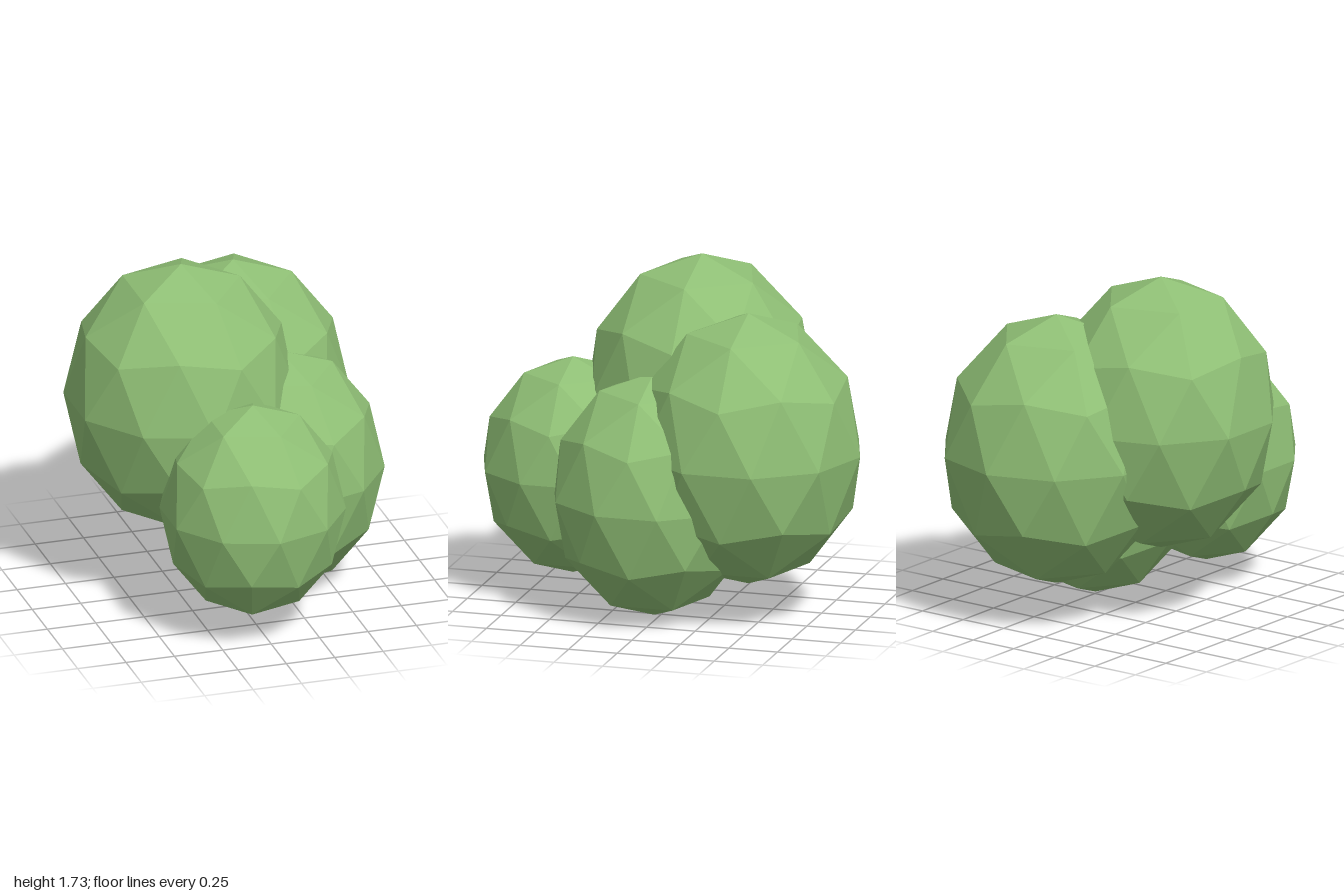
import * as THREE from 'three';

// Low-poly bush: four overlapping, slightly tall leaf clumps.
const STRETCH = 1.2;

const CLUMPS = [
  { name: 'frontClump', radius: 0.46, position: [-0.03, 0.65, 0.54] },
  { name: 'leftClump', radius: 0.517, position: [0.27, 0.62, 0.03] },
  { name: 'topClump', radius: 0.58, position: [-0.21, 1.034, -0.07] },
  { name: 'backClump', radius: 0.576, position: [0.17, 0.862, -0.424] },
];

// Faceted icosphere with one corner turned straight up, then stretched in height
function clumpGeometry(radius) {
  const geometry = new THREE.IcosahedronGeometry(radius, 1);
  const tilt = Math.atan(2 / (1 + Math.sqrt(5)));
  geometry.rotateZ(-tilt);
  geometry.scale(1, STRETCH, 1);
  geometry.computeVertexNormals();
  return geometry;
}

export function createModel() {
  const bush = new THREE.Group();
  bush.name = 'bush';
  const leaves = new THREE.MeshStandardMaterial({ color: 0x8fbf75, flatShading: true });

  for (const { name, radius, position } of CLUMPS) {
    const clump = new THREE.Mesh(clumpGeometry(radius), leaves);
    clump.name = name;
    clump.position.set(...position);
    bush.add(clump);
  }
  return bush;
}
